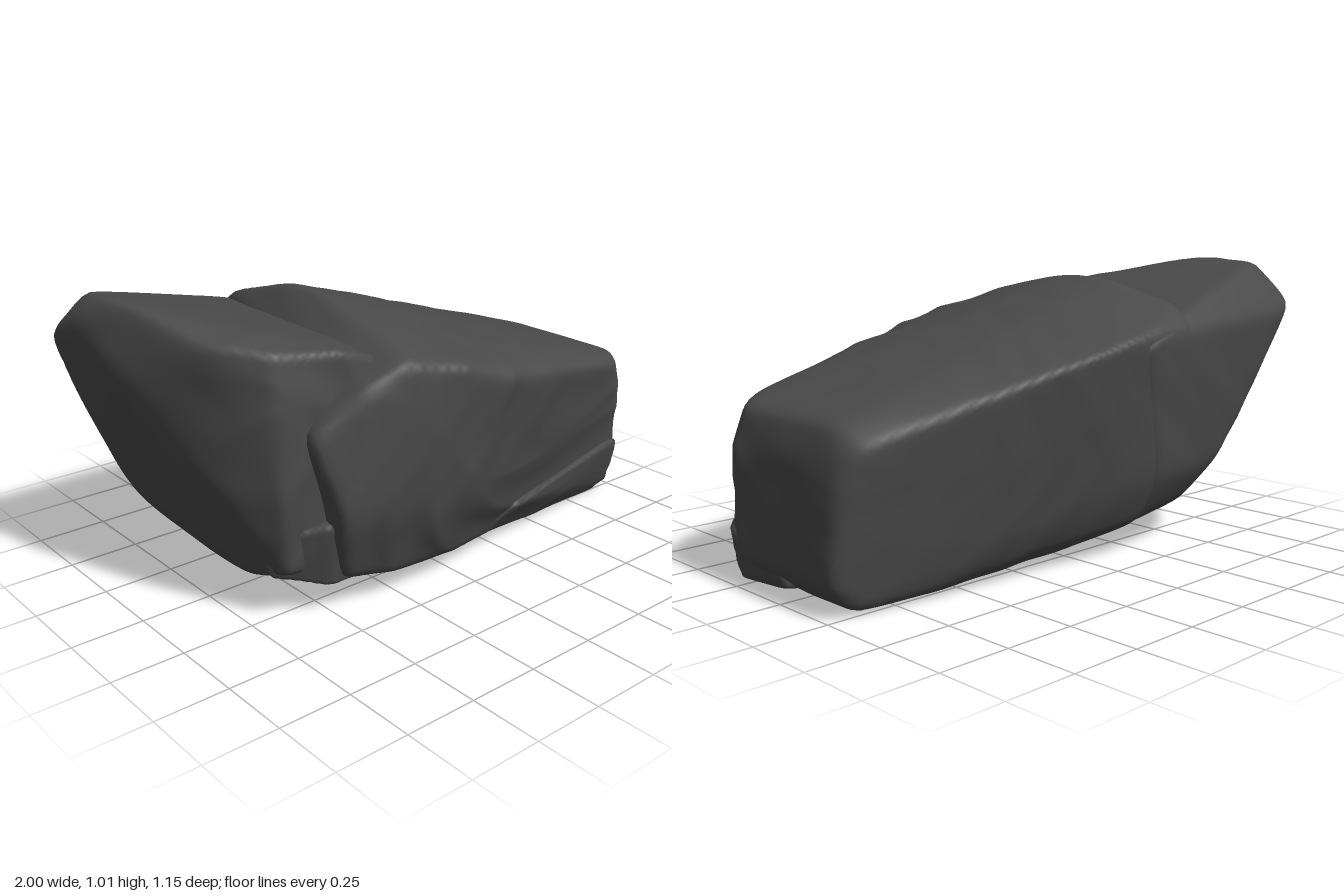
import * as THREE from 'three';
import { mergeVertices } from 'three/addons/utils/BufferGeometryUtils.js';
import { ConvexGeometry } from 'three/addons/geometries/ConvexGeometry.js';

const V = (p) => new THREE.Vector3(...p);

// Distinct face planes of the hull around some corner points, relative to a centre
function hullPlanes(corners, centre) {
  const pos = new ConvexGeometry(corners.map((p) => V(p).sub(centre))).attributes.position;
  const planes = [];
  for (let i = 0; i < pos.count; i += 3) {
    const [a, b, c] = [0, 1, 2].map((k) => new THREE.Vector3().fromBufferAttribute(pos, i + k));
    const n = b.clone().sub(a).cross(c.sub(a));
    if (n.length() < 1e-6) continue;
    n.normalize();
    const d = n.dot(a);
    if (!planes.some((q) => q.n.dot(n) > 0.9985)) planes.push({ n, d });
  }
  return planes;
}

// Weathering: broad dents, worn strata and fine chips
function weather(p) {
  const { x, y, z } = p;
  const w = Math.sin(3.1 * x + 2.3 * z) + Math.sin(4.7 * y - 1.9 * x);
  const broad = Math.sin(7 * x + 1.3 * w) * Math.sin(6 * y + 5 * z - w);
  const chip = 1 - 2 * Math.abs(Math.sin(9 * x + 5 * y + 2.2 * w) * Math.cos(8 * y - 7 * z + w));
  const fine = Math.sin(23 * x + 4 * w) * Math.sin(21 * y + 17 * z);
  const side = THREE.MathUtils.smoothstep(z, 0.1, 0.4); // the front is the roughest side
  return 0.004 * broad + (0.001 + 0.006 * side) * chip + 0.0015 * fine;
}

// Stone: a sphere pushed out to a softened hull
function stone(name, corners, centre, detail, sharp, material) {
  const c = V(centre);
  const planes = hullPlanes(corners, c);
  let geo = new THREE.IcosahedronGeometry(1, detail);
  geo.deleteAttribute('uv');
  geo.deleteAttribute('normal');
  geo = mergeVertices(geo, 1e-5);
  const pos = geo.attributes.position;
  const dir = new THREE.Vector3();
  for (let i = 0; i < pos.count; i++) {
    dir.fromBufferAttribute(pos, i).normalize();
    let sum = 0;
    for (const { n, d } of planes) sum += Math.pow(Math.max(n.dot(dir) / d, 0), sharp);
    const r = 1.01 * Math.pow(sum, -1 / sharp);
    const p = dir.clone().multiplyScalar(r).add(c);
    p.addScaledVector(dir, weather(p));
    pos.setXYZ(i, p.x, Math.max(p.y, 0), p.z);
  }
  geo.computeVertexNormals();
  const mesh = new THREE.Mesh(geo, material);
  mesh.name = name;
  return mesh;
}

export function createModel() {
  const group = new THREE.Group();
  group.name = 'rock';
  const darkStone = new THREE.MeshStandardMaterial({ color: 0x4a4a4a });
  darkStone.name = 'dark stone';

  // Main block: sloping top, wide shoulders, narrow foot
  group.add(stone('mainBlock', [
    // ridge
    [-0.27, 0.98, 0], [-0.27, 0.97, -0.22], [-0.3, 0.9, -0.48], [-0.29, 0.93, 0.28], [-0.34, 0.86, 0.51],
    // front shoulder
    [-0.15, 0.84, 0.565], [0.05, 0.76, 0.57], [0.22, 0.73, 0.53], [0.45, 0.68, 0.45], [0.82, 0.61, 0.4],
    // front face and foot
    [-0.63, 0.67, 0.42], [-0.54, 0.4, 0.48], [-0.1, 0.32, 0.51], [-0.48, 0.14, 0.38], [-0.2, 0.1, 0.41],
    [0.2, 0.06, 0.31], [0.9, 0.04, 0.25],
    // back shoulder and foot
    [-0.3, 0.82, -0.57], [0, 0.8, -0.575], [0.2, 0.75, -0.55], [0.6, 0.64, -0.45], [0.92, 0.54, -0.35],
    [-0.2, 0.32, -0.51], [-0.2, 0.14, -0.42], [0.3, 0.04, -0.29], [0.9, 0.03, -0.27],
    // right end
    [0.76, 0.655, 0.2], [0.76, 0.655, -0.28], [0.94, 0.6, 0.25], [0.94, 0.6, -0.25],
    [0.98, 0.5, 0.28], [0.98, 0.5, -0.29], [0.99, 0.1, 0.26], [0.99, 0.1, -0.27],
    // underside
    [-0.2, 0.045, 0.25], [-0.2, 0.045, -0.22], [0.4, 0.03, 0.25], [0.9, 0.015, 0],
  ], [0.18, 0.45, 0], 44, 60, darkStone));

  // Rear slab: tilts up to the left, undercut below, its back runs on into the main block
  group.add(stone('leftSlab', [
    // top
    [-0.93, 1.035, -0.12], [-0.92, 1.015, -0.38], [-1.01, 0.86, -0.48], [-1, 0.96, -0.3], [-0.98, 0.84, -0.12],
    [-0.84, 0.94, 0.2], [-0.7, 0.93, 0.34], [-0.4, 0.89, 0.4], [-0.3, 0.87, -0.52], [-0.6, 0.94, -0.47],
    // left end, slanting inwards to the foot
    [-0.99, 0.78, -0.46], [-0.94, 0.55, -0.35], [-0.87, 0.35, -0.25], [-0.69, 0.15, -0.2], [-0.69, 0.14, 0.15],
    [-0.82, 0.5, 0.18], [-0.7, 0.5, 0.37], [-0.66, 0.2, 0.34],
    // back
    [-0.6, 0.82, -0.52], [-0.6, 0.3, -0.46], [-0.5, 0.15, -0.36], [-0.3, 0.81, -0.575], [-0.05, 0.78, -0.575],
    [-0.2, 0.31, -0.51], [-0.2, 0.14, -0.41],
    // buried end
    [0, 0.06, -0.25], [0, 0.06, 0.25], [0, 0.7, 0.42],
  ], [-0.45, 0.56, -0.06], 40, 60, darkStone));

  // Low ledge along the front right foot
  group.add(stone('footLedge', [
    [0.15, 0.08, 0.35], [0.3, 0.19, 0.42], [0.6, 0.2, 0.37], [0.92, 0.25, 0.33], [1, 0.2, 0.28],
    [0.98, 0.04, 0.26], [0.9, 0.01, 0.25], [0.3, 0.035, 0.27], [0.2, 0.06, 0], [0.97, 0.05, 0],
    [0.2, 0.22, 0.1], [0.98, 0.2, 0.05],
  ], [0.55, 0.12, 0.22], 22, 50, darkStone));

  // Broken wedge where the slab meets the block
  group.add(stone('frontWedge', [
    [-0.72, 0.25, 0.2], [-0.68, 0.17, 0.28], [-0.52, 0.13, 0.36], [-0.2, 0.1, 0.38], [-0.2, 0.3, 0.44],
    [-0.56, 0.36, 0.41], [-0.7, 0.33, 0.3], [-0.25, 0.08, 0.05], [-0.6, 0.15, 0.05], [-0.35, 0.35, 0.1],
  ], [-0.45, 0.22, 0.25], 18, 50, darkStone));
  return group;
}
